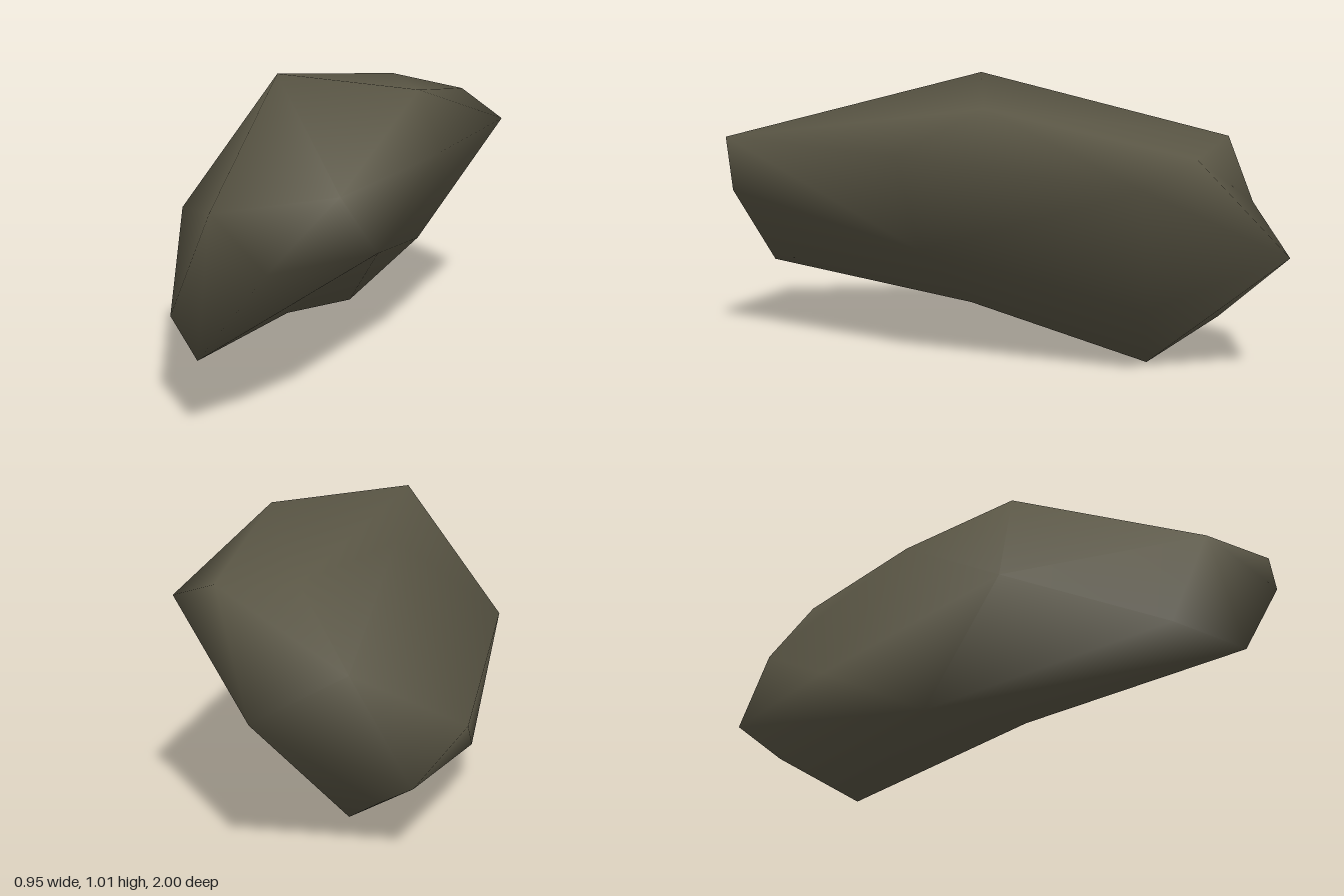
import * as THREE from 'three';
import { mergeVertices } from 'three/addons/utils/BufferGeometryUtils.js';
import { ConvexGeometry } from 'three/addons/geometries/ConvexGeometry.js';

// Corners that meet around the shallow dent at the back
const backPeak = [0, 0.85, -0.77];
const backTip = [0.1, 0.465, -1];
const dentRight = [-0.17, 0.59, -0.84];
const dentLeft = [0.29, 0.82, -0.71];

// Underside corner, pushed up into a hollow once the hull is built
const hollow = [-0.12, 0.08, 0.17];
const hollowHeight = 0.165;

// Remaining corners of the boulder
const corners = [
  backPeak, backTip, dentRight, dentLeft, hollow,
  // crown
  [-0.16, 1.01, 0.14], [0.3, 0.955, 0], [-0.2, 0.89, -0.26],
  // front end
  [0.305, 0.82, 0.925], [0.1, 0.585, 1], [-0.145, 0.27, 0.95],
  [-0.31, 0.335, 0.765], [-0.14, 0.71, 0.84],
  // left flank
  [0.445, 0.81, 0.26], [0.475, 0.745, -0.57], [0.23, 0.44, 0.25],
  // right flank
  [-0.478, 0.54, 0.24], [-0.472, 0.32, -0.42], [-0.365, 0.235, -0.815],
  // underside
  [-0.43, 0.135, -0.05], [-0.09, 0, -0.49], [0.17, 0.265, -0.53], [-0.24, 0.145, -0.72],
];

function boulderGeometry() {
  const hull = new ConvexGeometry(corners.map((c) => new THREE.Vector3(...c)));
  hull.deleteAttribute('normal');
  const geometry = mergeVertices(hull, 1e-4);
  const pos = geometry.attributes.position;
  const find = (c) => {
    const target = new THREE.Vector3(...c);
    const p = new THREE.Vector3();
    for (let i = 0; i < pos.count; i++) {
      if (p.fromBufferAttribute(pos, i).distanceTo(target) < 1e-3) return i;
    }
    return -1;
  };

  // Turn the ridge between peak and tip into a crease across the dent
  const [peak, tip, right, left] = [backPeak, backTip, dentRight, dentLeft].map(find);
  const index = Array.from(geometry.index.array);
  const faces = [];
  for (let i = 0; i < index.length; i += 3) faces.push(index.slice(i, i + 3));
  const withLeft = faces.findIndex((f) => [peak, tip, left].every((v) => f.includes(v)));
  const withRight = faces.findIndex((f) => [peak, tip, right].every((v) => f.includes(v)));
  if (withLeft >= 0 && withRight >= 0) {
    faces[withLeft] = faces[withLeft].map((v) => (v === tip ? right : v));
    faces[withRight] = faces[withRight].map((v) => (v === peak ? left : v));
  }
  geometry.setIndex(faces.flat());

  // Hollow out the underside
  pos.setY(find(hollow), hollowHeight);
  geometry.computeVertexNormals();
  return geometry;
}

export function createModel() {
  const stone = new THREE.MeshStandardMaterial({ color: 0x5a5645 });
  stone.name = 'dark olive stone';
  const boulder = new THREE.Mesh(boulderGeometry(), stone);
  boulder.name = 'boulder';
  const group = new THREE.Group();
  group.name = 'rock';
  group.add(boulder);
  return group;
}
